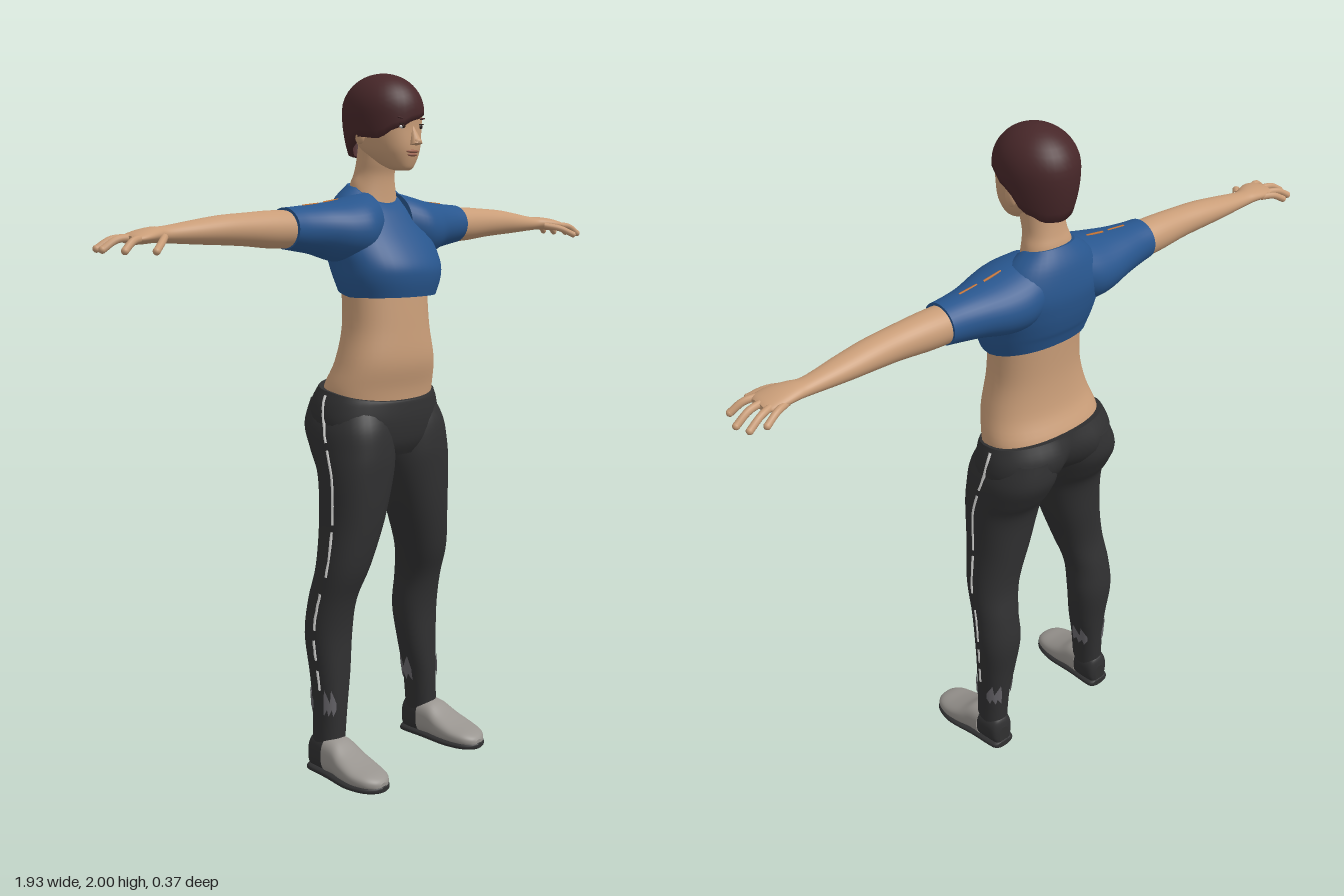
import * as THREE from 'three';

const mat = (name, color, side = THREE.FrontSide) => {
  const m = new THREE.MeshStandardMaterial({ color, side });
  m.name = name;
  return m;
};

// Catmull-Rom through rows of numbers; n steps per span
function refine(rows, n = 5) {
  const out = [], at = i => rows[Math.min(rows.length - 1, Math.max(0, i))];
  for (let i = 0; i < rows.length - 1; i++)
    for (let k = 0; k < n; k++) {
      const t = k / n, [a, b, c, d] = [at(i - 1), at(i), at(i + 1), at(i + 2)];
      out.push(b.map((v, j) => 0.5 * (2 * v + (c[j] - a[j]) * t +
        (2 * a[j] - 5 * v + 4 * c[j] - d[j]) * t * t + (3 * v - a[j] - 3 * c[j] + d[j]) * t * t * t)));
    }
  out.push(at(rows.length));
  return out;
}

// Skin over rows of points, with optional flat end caps
function skinRows(rows, closed = true, caps = true) {
  const pos = [], idx = [], n = rows[0].length, span = closed ? n : n - 1;
  rows.forEach(r => r.forEach(p => pos.push(...p)));
  for (let i = 0; i < rows.length - 1; i++)
    for (let j = 0; j < span; j++) {
      const a = i * n + j, b = i * n + (j + 1) % n;
      idx.push(a, b, a + n, b, b + n, a + n);
    }
  if (closed && caps)
    [rows[0], rows[rows.length - 1]].forEach((r, end) => {
      const base = pos.length / 3;
      r.forEach(p => pos.push(...p));
      pos.push(...[0, 1, 2].map(k => r.reduce((s, p) => s + p[k], 0) / n));
      for (let j = 0; j < n; j++) {
        const a = base + j, b = base + (j + 1) % n;
        idx.push(...(end ? [a, b, base + n] : [b, a, base + n]));
      }
    });
  const g = new THREE.BufferGeometry();
  g.setAttribute('position', new THREE.Float32BufferAttribute(pos, 3));
  g.setIndex(idx);
  g.computeVertexNormals();
  return g;
}

const SEG = 36;
const circle = f => Array.from({ length: SEG }, (_, i) => f(i / SEG * Math.PI * 2));
const pw = (v, p) => Math.sign(v) * Math.abs(v) ** p;

// Upright section: y, centre x, half width, front z, back z, front lift, back lift, back crease
function pointY([y, cx, rx, zf, zb, df = 0, db = 0, crease = 0], a, grow = 0) {
  const c = Math.cos(a), s = Math.sin(a), x = (rx + grow) * pw(s, 0.9);
  let z = (zf + zb) / 2 + ((zf - zb) / 2 + grow) * pw(c, 0.9);
  if (c < 0) z += crease * Math.exp(-((x / 0.04) ** 2));
  return [cx + x, y + (c > 0 ? df * c : -db * c), z];
}
const loftY = rows => skinRows(refine(rows).map(r => circle(a => pointY(r, a))));
// Sideways section: x, bottom y, top y, back z, front z
const loftX = rows => skinRows(refine(rows).map(([x, y0, y1, z0, z1]) => circle(a =>
  [x, (y0 + y1) / 2 + (y1 - y0) / 2 * Math.cos(a), (z0 + z1) / 2 + (z1 - z0) / 2 * Math.sin(a)])));
// Lengthwise section: z, centre x, half width, bottom y, top y
const loftZ = rows => skinRows(refine(rows).map(([z, cx, rx, y0, y1]) => circle(a =>
  [cx + rx * pw(Math.cos(a), 0.8), (y0 + y1) / 2 + (y1 - y0) / 2 * pw(Math.sin(a), 0.8), z])));

export function createModel() {
  const skin = mat('skin', 0xc99d78), shirt = mat('blue shirt', 0x28568e), pants = mat('charcoal', 0x303031);
  const hairMat = mat('dark red hair', 0x472729, THREE.DoubleSide), shoe = mat('shoe grey', 0x98948f);
  const white = mat('stripe white', 0xd8d8d6), patchMat = mat('ankle grey', 0x68666b, THREE.DoubleSide);
  const orange = mat('orange trim', 0xc07030), lip = mat('lips', 0x9c6552), dark = mat('eye dark', 0x2a1c18);
  const model = new THREE.Group();
  model.name = 'woman';
  const add = (name, geo, m, parent = model) => {
    const mesh = new THREE.Mesh(geo, m);
    mesh.name = name;
    parent.add(mesh);
    return mesh;
  };
  const blob = (name, m, p, s, parent = model) => {
    const b = add(name, new THREE.SphereGeometry(1, 16, 12), m, parent);
    b.position.set(...p);
    b.scale.set(...s);
    return b;
  };

  // Torso, shirt and neck
  add('waist', loftY([[1.05, 0, 0.18, 0.08, -0.13], [1.12, 0, 0.188, 0.088, -0.145], [1.2, 0, 0.168, 0.105, -0.112],
    [1.3, 0, 0.144, 0.1, -0.098], [1.42, 0, 0.142, 0.09, -0.1]]), skin);
  add('shirtBody', loftY([[1.385, 0, 0.153, 0.125, -0.115, 0, 0.03], [1.43, 0, 0.168, 0.136, -0.125, 0, 0.015],
    [1.47, 0, 0.174, 0.135, -0.135, 0, 0], [1.52, 0, 0.178, 0.108, -0.147, 0, 0], [1.58, 0, 0.172, 0.064, -0.152, 0, 0],
    [1.65, 0, 0.13, 0.036, -0.138, -0.03, 0], [1.688, 0, 0.08, 0.018, -0.112, -0.05, 0.012]]), shirt);
  add('neck', loftY([[1.65, 0, 0.078, 0.012, -0.105, -0.03, 0], [1.693, 0, 0.072, 0.008, -0.104, -0.042, 0],
    [1.725, 0, 0.061, 0.008, -0.095, -0.01, 0], [1.76, 0, 0.058, 0.02, -0.088, 0, 0], [1.82, 0, 0.055, 0.03, -0.08, 0, 0]]), skin);

  // Head and face
  add('head', loftY([[1.733, 0, 0.018, 0.08, 0.045], [1.742, 0, 0.036, 0.09, 0.015], [1.77, 0, 0.06, 0.1, -0.04],
    [1.8, 0, 0.075, 0.105, -0.075], [1.85, 0, 0.087, 0.104, -0.1], [1.9, 0, 0.09, 0.104, -0.108],
    [1.95, 0, 0.075, 0.075, -0.09], [1.98, 0, 0.035, 0.03, -0.05]]), skin);
  const nose = add('nose', new THREE.ConeGeometry(0.018, 0.06, 12), skin);
  nose.position.set(0, 1.833, 0.106);
  nose.rotation.x = -0.25;
  blob('noseTip', skin, [0, 1.812, 0.115], [0.014, 0.01, 0.015]);
  blob('upperLip', lip, [0, 1.785, 0.1], [0.025, 0.005, 0.009]);
  blob('lowerLip', lip, [0, 1.776, 0.098], [0.02, 0.005, 0.009]);
  for (const s of [1, -1]) {
    blob('eye', white, [s * 0.036, 1.852, 0.095], [0.014, 0.006, 0.005]);
    blob('iris', dark, [s * 0.036, 1.853, 0.098], [0.007, 0.006, 0.004]);
    blob('upperLid', dark, [s * 0.036, 1.859, 0.097], [0.016, 0.002, 0.005]);
    blob('eyebrow', hairMat, [s * 0.038, 1.874, 0.096], [0.02, 0.003, 0.006]).rotation.z = s * 0.12;
    blob('ear', skin, [s * 0.09, 1.835, -0.015], [0.012, 0.03, 0.018]);
  }

  // Hair cap with a swept fringe: lower edge height every 30 degrees from the front
  const edges = [1.87, 1.885, 1.888, 1.86, 1.8, 1.775, 1.77, 1.775, 1.8, 1.825, 1.82, 1.848];
  const edgeAt = a => {
    const t = a / (Math.PI * 2) * 12, i = Math.floor(t), f = t - i, k = (1 - Math.cos(f * Math.PI)) / 2;
    return edges[i % 12] * (1 - k) + edges[(i + 1) % 12] * k;
  };
  const hairPoint = (a, v, inset) => {
    const y = 2 - (2 - edgeAt(a)) * (1 - Math.cos(v * Math.PI / 2)), h = y - 1.895;
    const r = (h > 0 ? Math.sqrt(Math.max(0, 1 - (h / 0.105) ** 2)) : 1 - 11 * h * h) * inset;
    return [0.107 * r * Math.sin(a), y, -0.01 + 0.122 * r * Math.cos(a)];
  };
  const hairRows = [circle(a => hairPoint(a, 1, 0.84))];
  for (let i = 14; i >= 0; i--) hairRows.push(circle(a => hairPoint(a, i / 14, 1)));
  add('hair', skinRows(hairRows, true, false), hairMat);

  // Pelvis of the leggings
  const pelvis = [[0.93, 0, 0.12, 0.07, -0.08, 0, 0, 0.02], [0.97, 0, 0.195, 0.09, -0.12, 0, 0, 0.035],
    [1.03, 0, 0.217, 0.098, -0.172, 0, 0, 0.035], [1.08, 0, 0.212, 0.095, -0.184, 0, 0.005, 0.025],
    [1.12, 0, 0.197, 0.092, -0.158, -0.03, 0.02, 0]];
  add('leggingsHips', loftY(pelvis), pants);

  const leg = [[0.08, 0.207, 0.042, 0.01, -0.085], [0.2, 0.2, 0.045, 0.014, -0.09], [0.3, 0.193, 0.058, 0.012, -0.1],
    [0.42, 0.19, 0.07, 0.012, -0.115], [0.52, 0.187, 0.068, 0.03, -0.105], [0.62, 0.17, 0.076, 0.065, -0.087],
    [0.75, 0.141, 0.09, 0.088, -0.095], [0.88, 0.122, 0.108, 0.098, -0.108], [0.95, 0.116, 0.112, 0.099, -0.145],
    [1.02, 0.112, 0.108, 0.09, -0.176], [1.09, 0.1, 0.09, 0.06, -0.17]];
  const dense = refine(leg, 8), hips = refine(pelvis, 8);
  const nearest = (rows, y) => rows.reduce((b, r) => Math.abs(r[0] - y) < Math.abs(b[0] - y) ? r : b);

  for (const s of [1, -1]) {
    const side = new THREE.Group();
    side.name = s > 0 ? 'leftLimbs' : 'rightLimbs';
    side.scale.x = s;
    model.add(side);

    // Leg, broken side stripe and ankle patches
    add('leg', loftY(leg), pants, side);
    for (const [y0, y1] of [[1.11, 0.98], [0.96, 0.75], [0.73, 0.6], [0.55, 0.44], [0.41, 0.35], [0.32, 0.26]]) {
      const pts = [];
      for (let k = 0; k <= 6; k++) {
        const y = y0 + (y1 - y0) * k / 6, l = nearest(dense, y), h = nearest(hips, y);
        const x = Math.max(l[1] + l[2], y > 0.95 ? h[2] : 0);
        pts.push(new THREE.Vector3(x - 0.002, y, (l[3] + l[4]) / 2 + 0.008));
      }
      add('sideStripe', new THREE.TubeGeometry(new THREE.CatmullRomCurve3(pts), 12, 0.005, 6), white, side);
    }
    for (const [a0, a1] of [[0.5, 1.25], [1.9, 2.9], [3.9, 4.9]]) {
      const edge = top => Array.from({ length: 9 }, (_, i) => {
        const y = top ? 0.225 + 0.04 * (i % 4) / 3 : 0.205 - 0.02 * (i % 3) / 2;
        return pointY([y, ...nearest(dense, y).slice(1)], a0 + (a1 - a0) * i / 8, 0.004);
      });
      add('anklePatch', skinRows([edge(false), edge(true)], false), patchMat, side);
    }

    // Shoe: dark sole and heel, grey upper
    add('sole', loftZ([[-0.098, 0.208, 0.02, 0, 0.02], [-0.085, 0.208, 0.04, 0, 0.026], [0, 0.212, 0.05, 0, 0.026],
      [0.09, 0.217, 0.064, 0, 0.026], [0.15, 0.218, 0.055, 0, 0.026], [0.18, 0.217, 0.033, 0.002, 0.024],
      [0.19, 0.216, 0.012, 0.006, 0.02]]), pants, side);
    add('heel', loftZ([[-0.096, 0.208, 0.018, 0.01, 0.08], [-0.085, 0.208, 0.036, 0.01, 0.11],
      [-0.05, 0.208, 0.045, 0.01, 0.122], [-0.01, 0.21, 0.048, 0.01, 0.12]]), pants, side);
    add('shoeUpper', loftZ([[-0.02, 0.21, 0.05, 0.01, 0.121], [0.02, 0.212, 0.053, 0.01, 0.114], [0.06, 0.215, 0.06, 0.01, 0.088],
      [0.11, 0.218, 0.061, 0.01, 0.066], [0.155, 0.218, 0.05, 0.01, 0.053], [0.178, 0.217, 0.032, 0.012, 0.042],
      [0.187, 0.216, 0.014, 0.015, 0.032]]), shoe, side);

    // Sleeve and trim
    add('sleeve', loftX([[0.06, 1.5, 1.676, -0.135, 0.05], [0.12, 1.48, 1.662, -0.145, 0.075], [0.18, 1.485, 1.65, -0.14, 0.065],
      [0.25, 1.505, 1.642, -0.125, 0.035], [0.31, 1.515, 1.637, -0.112, 0.02], [0.355, 1.522, 1.634, -0.106, 0.015]]), shirt, side);
    for (const [x0, x1, y0, y1] of [[0.15, 0.21, 1.653, 1.645], [0.23, 0.29, 1.642, 1.637]]) {
      const line = new THREE.LineCurve3(new THREE.Vector3(x0, y0, -0.042), new THREE.Vector3(x1, y1, -0.044));
      add('sleeveTrim', new THREE.TubeGeometry(line, 4, 0.004, 6), orange, side);
    }

    // Arm, palm and fingers
    add('arm', loftX([[0.3, 1.525, 1.625, -0.1, 0.008], [0.4, 1.526, 1.627, -0.098, 0.005], [0.5, 1.535, 1.622, -0.092, 0],
      [0.58, 1.54, 1.617, -0.092, -0.004], [0.66, 1.544, 1.607, -0.09, -0.012], [0.76, 1.55, 1.593, -0.083, -0.025],
      [0.8, 1.552, 1.592, -0.085, -0.012], [0.84, 1.55, 1.587, -0.086, 0.004], [0.875, 1.55, 1.578, -0.08, 0.006],
      [0.888, 1.556, 1.572, -0.068, -0.008]]), skin, side);
    const fingers = [[[0.83, 1.565, -0.074], [0.87, 1.563, -0.09], [0.905, 1.545, -0.1]],
      [[0.86, 1.566, -0.062], [0.905, 1.562, -0.077], [0.943, 1.541, -0.085]],
      [[0.865, 1.567, -0.036], [0.915, 1.563, -0.042], [0.955, 1.54, -0.046]],
      [[0.86, 1.566, -0.01], [0.902, 1.56, 0.004], [0.935, 1.538, 0.014]],
      [[0.79, 1.566, -0.016], [0.83, 1.555, 0.022], [0.866, 1.536, 0.046]]];
    for (const f of fingers) {
      const path = new THREE.CatmullRomCurve3(f.map(p => new THREE.Vector3(...p)));
      add('finger', new THREE.TubeGeometry(path, 10, 0.0095, 10), skin, side);
      blob('fingertip', skin, f[2], [0.0095, 0.0095, 0.0095], side);
    }
  }
  return model;
}
